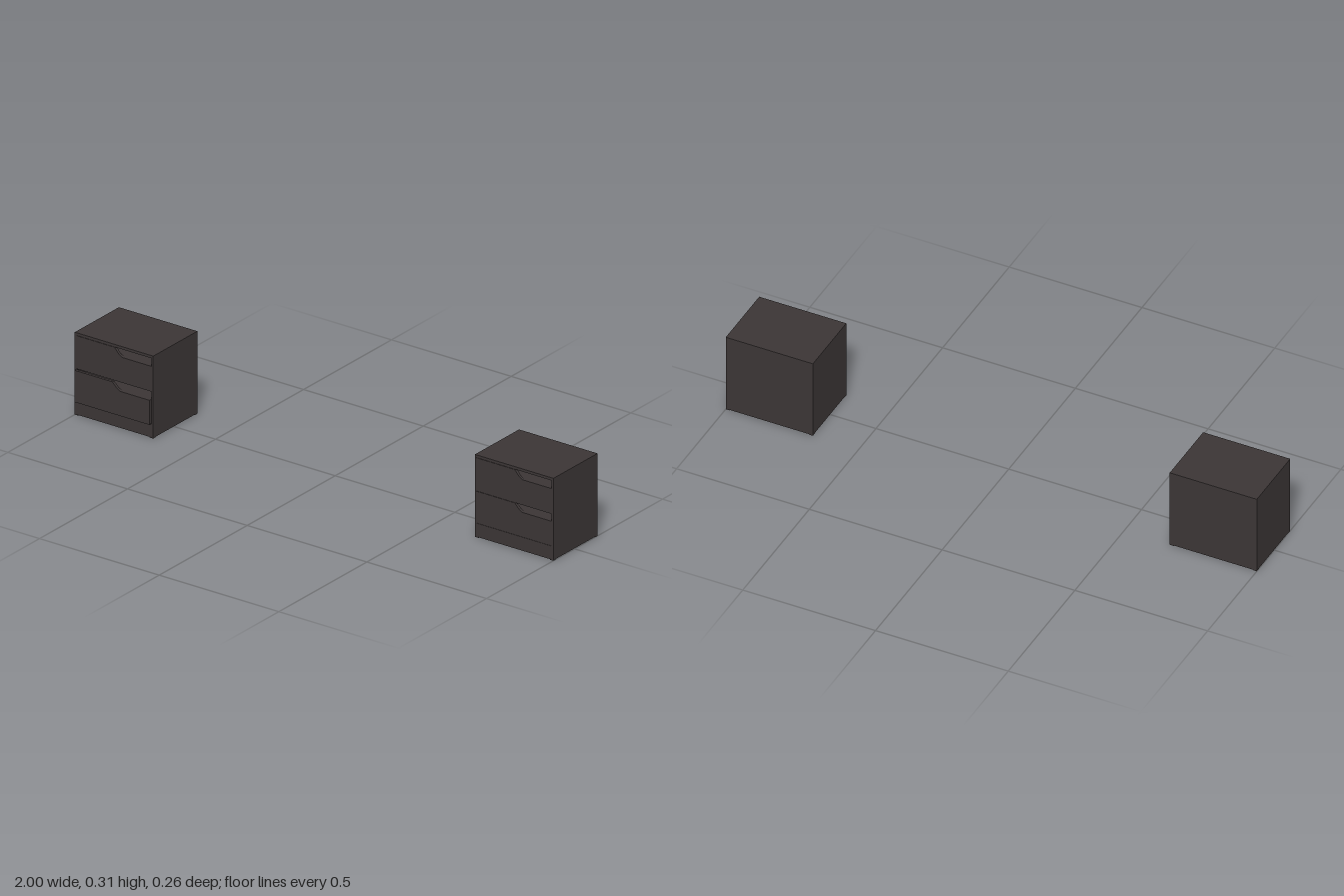
import * as THREE from 'three';

const WIDTH = 0.328, HEIGHT = 0.305, FRONT = 0.12, BACK = -0.131;
const FOOT = 0.002, PANEL = 0.007, BASE_TOP = 0.053, MIDDLE = 0.171;

export function createModel() {
  const darkWood = new THREE.MeshStandardMaterial({ color: 0x3b3535 });
  darkWood.name = 'darkWood';

  // Box given by its lower and upper corners
  function block(name, x0, x1, y0, y1, z0, z1) {
    const mesh = new THREE.Mesh(new THREE.BoxGeometry(x1 - x0, y1 - y0, z1 - z0), darkWood);
    mesh.position.set((x0 + x1) / 2, (y0 + y1) / 2, (z0 + z1) / 2);
    mesh.name = name;
    return mesh;
  }

  // Drawer: front panel with a slanted finger notch at its upper right, and the box behind it
  function drawer(name, bottom, top, notchBottom, pull) {
    const group = new THREE.Group();
    group.name = name;
    const half = WIDTH / 2 - PANEL - 0.0005;
    const thickness = 0.0105;
    const shape = new THREE.Shape([
      [-half, bottom], [half, bottom], [half, notchBottom],
      [0.034, notchBottom], [0.022, notchBottom + 0.007], [0.002, top], [-half, top],
    ].map(([x, y]) => new THREE.Vector2(x, y)));
    const panel = new THREE.Mesh(
      new THREE.ExtrudeGeometry(shape, { depth: thickness, bevelEnabled: false }), darkWood);
    panel.position.z = FRONT - thickness;
    panel.name = 'drawerFront';
    group.add(panel, block('drawerBox', -half + 0.002, half - 0.002,
      bottom + 0.002, notchBottom, BACK + 0.03, FRONT - thickness));
    group.position.z = pull;
    return group;
  }

  function nightstand(name, x, pull) {
    const group = new THREE.Group();
    group.name = name;
    const w = WIDTH / 2;

    // Hollow cabinet
    group.add(
      block('topPanel', -w, w, HEIGHT - 0.01, HEIGHT, BACK, FRONT),
      block('base', -w + PANEL, w - PANEL, FOOT, BASE_TOP - 0.001, BACK, FRONT - 0.0005),
      block('backPanel', -w + PANEL, w - PANEL, BASE_TOP - 0.001, HEIGHT - 0.01, BACK, BACK + PANEL));
    for (const s of [-1, 1]) {
      const inner = s * (w - PANEL), outer = s * w;
      group.add(block('sidePanel', Math.min(inner, outer), Math.max(inner, outer),
        FOOT, HEIGHT - 0.01, BACK, FRONT));
      // Low corner feet
      for (const z of [BACK, FRONT - 0.015]) {
        const edge = s * (w - 0.015);
        group.add(block('foot', Math.min(edge, outer), Math.max(edge, outer), 0, FOOT, z, z + 0.015));
      }
    }

    group.add(drawer('upperDrawer', MIDDLE + 0.0005, HEIGHT - 0.011, 0.265, 0));
    group.add(drawer('lowerDrawer', BASE_TOP, MIDDLE - 0.0005, 0.144, pull));
    group.position.x = x;
    return group;
  }

  // The right stand has its lower drawer slightly open
  const model = new THREE.Group();
  model.name = 'nightstands';
  model.add(nightstand('rightNightstand', -1 + WIDTH / 2, 0.012));
  model.add(nightstand('leftNightstand', 1 - WIDTH / 2, 0));
  return model;
}
